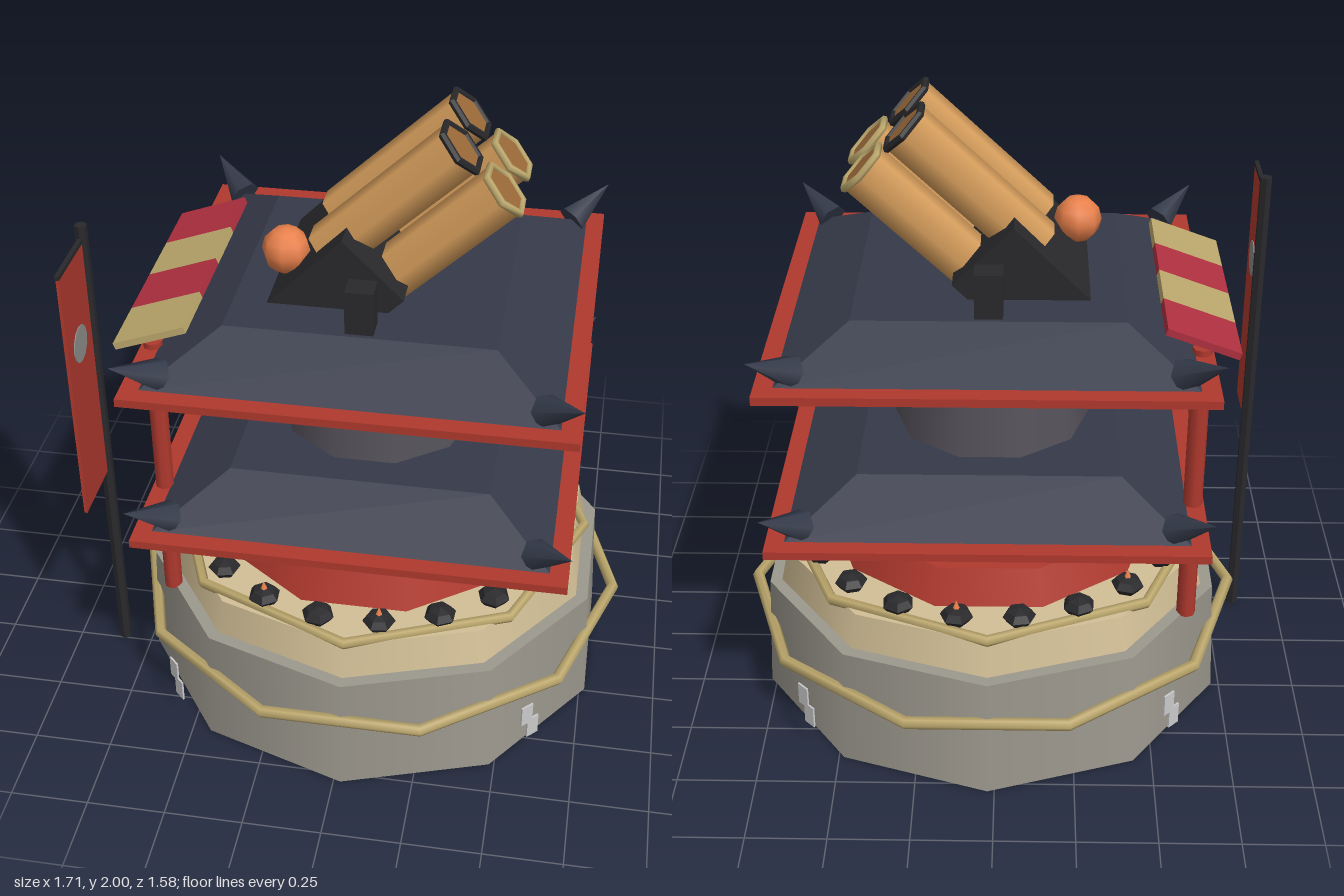
import * as THREE from 'three';

const mat = (color, flatShading = false) => new THREE.MeshStandardMaterial({ color, flatShading });
const M = {
  stone: mat(0x9c988e), band: mat(0x8f8e8a), cream: mat(0xd2bf96), gold: mat(0xbca76c),
  red: mat(0xb0392e), slate: mat(0x363a49, true), tower: mat(0x55525a), dark: mat(0x29282b, true),
  wood: mat(0xd39b5a), bore: mat(0x9c6a38), orange: mat(0xe8804a), stripe: mat(0xb03040),
  clip: mat(0xcccccc), spike: mat(0x343a4a),
};
const CX = 0.022; // tower axis

export function createModel() {
  const model = new THREE.Group();
  const tower = new THREE.Group();
  tower.name = 'tower';
  tower.position.x = CX;
  model.add(tower);

  const add = (parent, name, geo, material, x = 0, y = 0, z = 0) => {
    const mesh = new THREE.Mesh(geo, material);
    mesh.name = name;
    mesh.position.set(x, y, z);
    parent.add(mesh);
    return mesh;
  };
  // Tapered drum standing between two heights
  const drum = (name, material, r0, r1, y0, y1, sides = 10, turn = 0) =>
    add(tower, name, new THREE.CylinderGeometry(r1, r0, y1 - y0, sides).rotateY(turn), material, 0, (y0 + y1) / 2);
  const hoop = (name, r, tube, sides, y) =>
    add(tower, name, new THREE.TorusGeometry(r, tube, 6, sides).rotateX(Math.PI / 2), M.gold, 0, y);

  // Stepped base and tower body
  drum('base', M.stone, 0.785, 0.765, 0, 0.4);
  drum('upperBase', M.cream, 0.725, 0.7, 0.4, 0.515);
  drum('redStep', M.red, 0.545, 0.5, 0.515, 0.63, 10, Math.PI / 2);
  drum('towerBody', M.tower, 0.345, 0.29, 0.63, 1.14, 10, Math.PI / 2);
  drum('towerBand', M.band, 0.315, 0.315, 1.135, 1.21, 10, Math.PI / 2);
  drum('towerNeck', M.dark, 0.285, 0.22, 1.21, 1.33, 10, Math.PI / 2);
  hoop('lowerHoop', 0.81, 0.02, 10, 0.26);
  hoop('upperHoop', 0.695, 0.018, 8, 0.517);

  // Rings of dark knobs, some with a small orange tip
  const knobGeo = new THREE.SphereGeometry(0.052, 6, 4).scale(1, 0.58, 1);
  const tipGeo = new THREE.ConeGeometry(0.012, 0.03, 5);
  for (const [count, r, y] of [[20, 0.615, 0.547], [12, 0.43, 0.66]]) {
    for (let i = 0; i < count; i++) {
      const a = ((i + 0.5) / count) * Math.PI * 2;
      const x = r * Math.sin(a), z = r * Math.cos(a);
      add(tower, 'knob', knobGeo, M.dark, x, y, z).rotation.y = a;
      if (i % 3 === 0) add(tower, 'knobTip', tipGeo, M.orange, x, y + 0.04, z);
    }
  }

  // Stepped clips on the four diagonals of the base
  for (let i = 0; i < 4; i++) {
    const clip = new THREE.Group();
    clip.name = 'baseClip';
    clip.rotation.y = Math.PI / 4 + (i * Math.PI) / 2;
    add(clip, 'clipTop', new THREE.BoxGeometry(0.045, 0.075, 0.006), M.clip, -0.013, 0.198, 0.82);
    add(clip, 'clipBottom', new THREE.BoxGeometry(0.045, 0.075, 0.006), M.clip, 0.013, 0.135, 0.82);
    tower.add(clip);
  }

  // Square roofs with corner spikes
  const spikeGeo = new THREE.ConeGeometry(0.052, 0.18, 6);
  for (const y of [0.785, 1.31]) {
    const roof = new THREE.Group();
    roof.name = 'roof';
    roof.position.y = y;
    tower.add(roof);
    add(roof, 'roofSlab', new THREE.BoxGeometry(1.33, 0.026, 1.33), M.red, 0, 0.013, 0);
    const slope = new THREE.CylinderGeometry(0.405 * Math.SQRT2, 0.61 * Math.SQRT2, 0.115, 4).rotateY(Math.PI / 4);
    add(roof, 'roofSlope', slope, M.slate, 0, 0.0825, 0);
    for (const sx of [-1, 1]) for (const sz of [-1, 1]) {
      const dir = new THREE.Vector3(sx * 0.1, 0.075, sz * 0.1).normalize();
      const spike = add(roof, 'roofSpike', spikeGeo, M.spike, sx * 0.615, 0.094, sz * 0.615);
      spike.quaternion.setFromUnitVectors(new THREE.Vector3(0, 1, 0), dir);
    }
  }

  // Side blocks through the top roof
  for (const s of [-1, 1])
    add(tower, 'sideBlock', new THREE.BoxGeometry(0.085, 0.29, 0.078), M.dark, 0, 1.445, s * 0.353);

  // Tilted mount and its four barrels
  add(model, 'barrelMount', new THREE.BoxGeometry(0.39, 0.26, 0.52), M.dark, -0.096, 1.45, 0).rotation.z = Math.PI / 4;
  const length = 0.54;
  const barrelGeo = new THREE.CylinderGeometry(0.084, 0.084, length, 6);
  const boreGeo = new THREE.CylinderGeometry(0.074, 0.074, 0.004, 6);
  const rimGeo = new THREE.TorusGeometry(0.083, 0.012, 6, 6).rotateX(Math.PI / 2).rotateY(Math.PI / 2);
  for (const [x, y, rim] of [[-0.12, 1.565, M.dark], [0.01, 1.44, M.gold]]) {
    for (const s of [-1, 1]) {
      const barrel = new THREE.Group();
      barrel.name = 'barrel';
      barrel.position.set(x, y, s * 0.112);
      barrel.rotation.z = -0.815;
      add(barrel, 'barrelTube', barrelGeo, M.wood, 0, length / 2, 0);
      add(barrel, 'barrelMouth', boreGeo, M.bore, 0, length + 0.001, 0);
      add(barrel, 'barrelRim', rimGeo, rim, 0, length, 0);
      model.add(barrel);
    }
  }
  add(model, 'orangeBall', new THREE.SphereGeometry(0.075, 8, 6), M.orange, -0.247, 1.555, 0.115);

  // Posts carrying the striped awning
  for (const s of [-1, 1])
    add(model, 'awningPost', new THREE.CylinderGeometry(0.03, 0.03, 0.96, 8), M.red, -0.608, 0.875, s * 0.372);
  const awning = new THREE.Group();
  awning.name = 'awning';
  awning.position.set(-0.607, 1.382, 0);
  awning.rotation.z = 0.35;
  for (let i = 0; i < 4; i++)
    add(awning, 'awningStripe', new THREE.BoxGeometry(0.235, 0.022, 0.204), i % 2 ? M.gold : M.stripe, 0, 0, (i - 1.5) * 0.204);
  model.add(awning);

  // Flagpole with hanging banner
  const flag = new THREE.Group();
  flag.name = 'flag';
  flag.position.set(-0.845, 0, 0.235);
  add(flag, 'flagPole', new THREE.CylinderGeometry(0.02, 0.02, 1.65, 6), M.dark, 0, 0.825, 0);
  add(flag, 'bannerRod', new THREE.BoxGeometry(0.014, 0.014, 0.24), M.dark, 0, 1.605, 0.12);
  add(flag, 'banner', new THREE.BoxGeometry(0.01, 0.86, 0.22), M.red, 0, 1.17, 0.127);
  add(flag, 'bannerDisc', new THREE.CylinderGeometry(0.06, 0.06, 0.016, 12).rotateZ(Math.PI / 2), M.band, 0, 1.31, 0.127);
  model.add(flag);

  return model;
}
